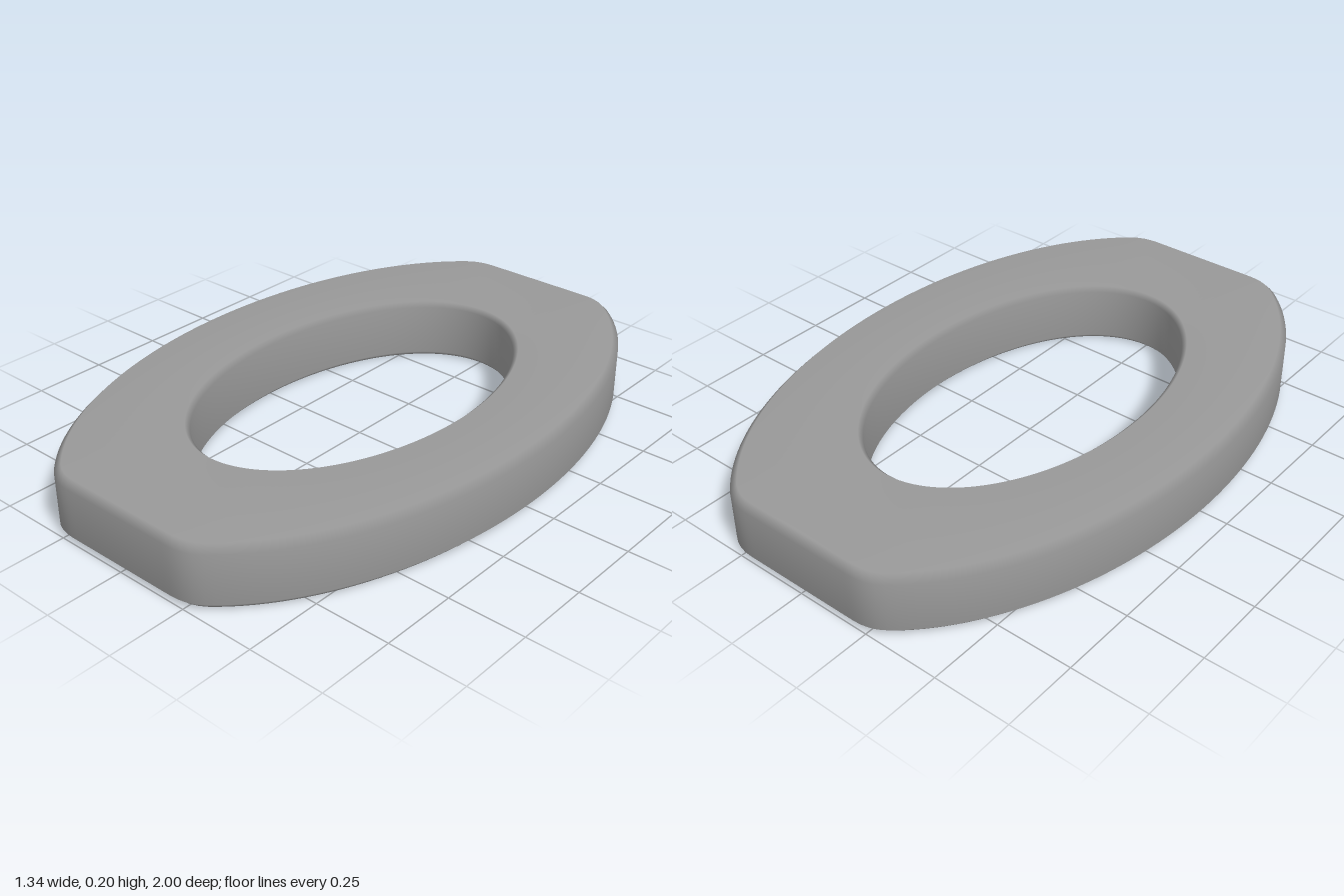
import * as THREE from 'three';

const HEIGHT = 0.205;
const SEGMENTS = 160;

// Cross-section, from outer bottom up and over to inner bottom: [rim, inset, y]
const SECTION = [
  ['outer', 0.022, 0], ['outer', 0, 0.022],
  ['outer', 0, HEIGHT - 0.022], ['outer', 0.022, HEIGHT],
  ['inner', 0.016, HEIGHT], ['inner', 0, HEIGHT - 0.016],
  ['inner', 0, 0.016], ['inner', 0.016, 0],
];

// Minimum with a softened corner
function softMin(a, b, k) {
  const h = Math.max(k - Math.abs(a - b), 0) / k;
  return Math.min(a, b) - h * h * k / 4;
}

// Outer rim: ellipse cut flat at both ends
function outer(t, inset) {
  const s = Math.sin(t);
  const z = softMin((1.085 - inset) * Math.abs(s), 1 - inset, 0.035);
  return [(0.67 - inset) * Math.cos(t), Math.sign(s) * z];
}

// Hole: plain ellipse, wider at the bevels
function inner(t, inset) {
  return [(0.385 + inset) * Math.cos(t), (0.632 + inset) * Math.sin(t)];
}

export function createModel() {
  const positions = [], indices = [];
  const n = SECTION.length;
  for (let i = 0; i < SEGMENTS; i++) {
    const t = (i / SEGMENTS) * Math.PI * 2;
    for (let j = 0; j < n; j++) {
      const [rim, inset, y] = SECTION[j];
      const [x, z] = rim === 'outer' ? outer(t, inset) : inner(t, inset);
      positions.push(x, y, z);
      const next = (i + 1) % SEGMENTS, up = (j + 1) % n;
      const a = i * n + j, b = i * n + up, c = next * n + up, d = next * n + j;
      indices.push(a, b, c, a, c, d);
    }
  }
  const geometry = new THREE.BufferGeometry();
  geometry.setAttribute('position', new THREE.Float32BufferAttribute(positions, 3));
  geometry.setIndex(indices);
  geometry.computeVertexNormals();

  const grey = new THREE.MeshStandardMaterial({ color: 0x999999 });
  grey.name = 'grey';
  const ring = new THREE.Mesh(geometry, grey);
  ring.name = 'ovalRing';

  const group = new THREE.Group();
  group.name = 'flatEndedOvalRing';
  group.add(ring);
  return group;
}
